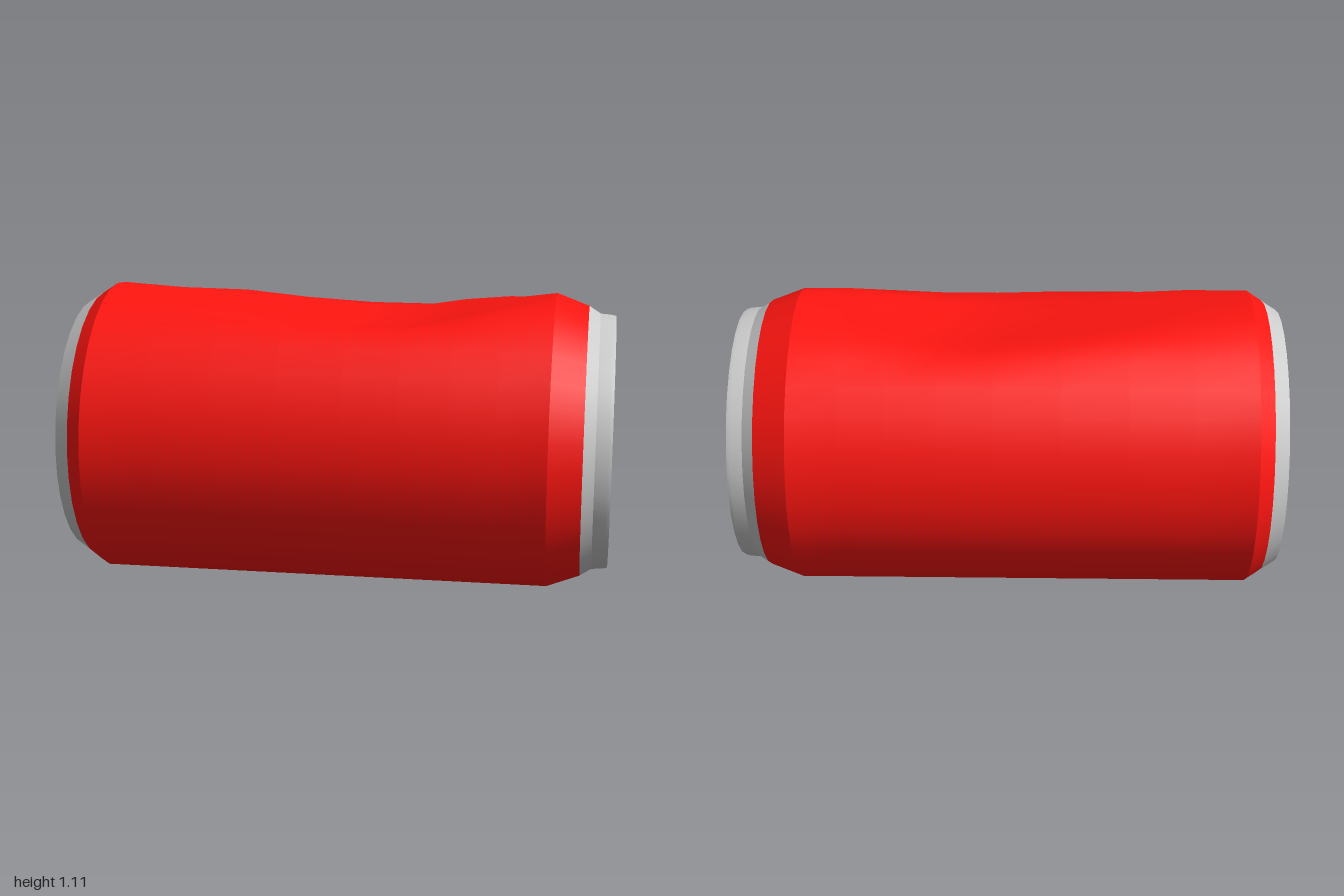
import * as THREE from 'three';
import { mergeVertices } from 'three/addons/utils/BufferGeometryUtils.js';

const SEGMENTS = 32;
const R = 0.55;
const grey = new THREE.MeshStandardMaterial({ color: 0xcccccc, side: THREE.DoubleSide });
const red = new THREE.MeshStandardMaterial({ color: 0xff1510, side: THREE.DoubleSide });

// Ring of revolution about the x axis from [x, radius] pairs, seam underneath
function turned(name, profile, material, deform) {
  const points = profile.map(([x, r]) => new THREE.Vector2(r, x));
  let geo = new THREE.LatheGeometry(points, SEGMENTS, Math.PI / 2);
  geo.rotateZ(-Math.PI / 2);
  if (deform) {
    deform(geo.attributes.position);
    geo.deleteAttribute('uv');
    geo.deleteAttribute('normal');
    geo = mergeVertices(geo, 1e-4);
    geo.computeVertexNormals();
  }
  const mesh = new THREE.Mesh(geo, material);
  mesh.name = name;
  return mesh;
}

// Presses a shallow, slightly forward-tilted hollow into the top of the wall
function dent(pos) {
  for (let i = 0; i < pos.count; i++) {
    const x = pos.getX(i), y = pos.getY(i), z = pos.getZ(i);
    if (y < 0.3) continue;
    const along = x < 0.05 ? (x + 0.89) / 0.94 : x > 0.25 ? (0.78 - x) / 0.53 : 1;
    const sag = 0.025 * Math.max(0, 1 - (z / 0.3) ** 2);
    const floor = 0.465 - 0.05 * z - sag;
    pos.setY(i, Math.min(y, R + along * (floor - R)));
  }
}

export function createModel() {
  const can = new THREE.Group();
  can.name = 'drinkCan';

  // Painted shell
  const rows = [-0.89, -0.66, -0.43, -0.19, 0.05, 0.25, 0.43, 0.6, 0.78];
  can.add(turned('dentedBody', rows.map((x) => [x, R]), red, dent));
  can.add(turned('lowerShoulder', [[-0.945, 0.513], [-0.89, R]], red));
  can.add(turned('upperShoulder', [[0.78, R], [0.9, 0.505]], red));

  // Base end: bare taper, thin foot, sloping wall and recessed panel
  can.add(turned('basePanel', [[-0.955, 0], [-0.955, 0.41]], grey));
  can.add(turned('baseInnerWall', [[-0.955, 0.41], [-0.995, 0.455]], grey));
  can.add(turned('baseFoot', [[-0.995, 0.455], [-1, 0.478]], grey));
  can.add(turned('baseTaper', [[-1, 0.478], [-0.945, 0.513]], grey));

  // Lid end: neck, rolled rim and recessed, gently domed lid
  can.add(turned('neckTaper', [[0.9, 0.505], [0.942, 0.478]], grey));
  can.add(turned('rimBand', [[0.942, 0.478], [0.985, 0.474], [1, 0.47]], grey));
  can.add(turned('rimLip', [[1, 0.47], [1, 0.455]], grey));
  can.add(turned('rimInnerWall', [[1, 0.455], [0.965, 0.446]], grey));
  can.add(turned('lid', [[0.965, 0.446], [0.973, 0.3], [0.979, 0.15], [0.981, 0]], grey));

  // Lies on its side with a very slight tilt
  can.rotation.z = -0.0045;
  can.position.y = 0.5555;

  const model = new THREE.Group();
  model.add(can);
  return model;
}
